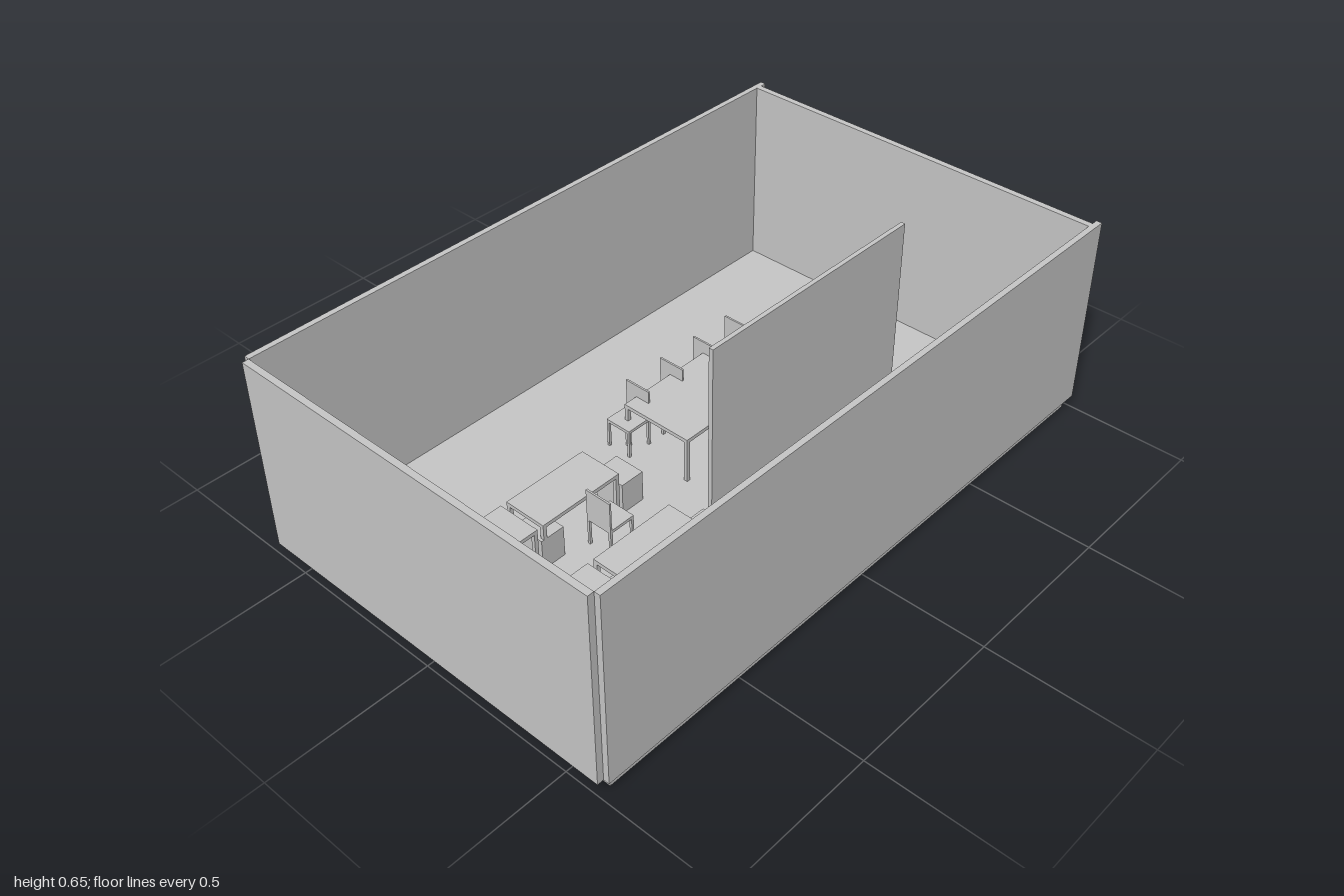
import * as THREE from 'three';

const grey = new THREE.MeshStandardMaterial({ color: 0xc8c8c8 });
grey.name = 'plain grey';

const FLOOR = 0.04, WALL_TOP = 0.65;

// Box given by its minimum and maximum on each axis
function box(name, [x0, x1], [y0, y1], [z0, z1]) {
  const mesh = new THREE.Mesh(new THREE.BoxGeometry(x1 - x0, y1 - y0, z1 - z0), grey);
  mesh.position.set((x0 + x1) / 2, (y0 + y1) / 2, (z0 + z1) / 2);
  mesh.name = name;
  return mesh;
}

// Four thin legs under a rectangle
function addLegs(group, [x0, x1], top, [z0, z1], t) {
  for (const x of [x0, x1 - t])
    for (const z of [z0, z1 - t])
      group.add(box('leg', [x, x + t], [FLOOR, top], [z, z + t]));
}

function table(name, xs, zs) {
  const group = new THREE.Group();
  group.name = name;
  group.add(box('tabletop', xs, [0.178, 0.19], zs));
  addLegs(group, xs, 0.178, zs, 0.012);
  return group;
}

// Chair with its backrest on the -x edge (side -1) or the +x edge (side 1)
function chair(x, z, side) {
  const group = new THREE.Group(), w = 0.088, t = 0.006;
  group.name = 'chair';
  group.add(box('seat', [x, x + w], [0.125, 0.135], [z, z + w]));
  const bx = side < 0 ? x : x + w - t;
  group.add(box('backrest', [bx, bx + t], [0.135, 0.23], [z, z + w]));
  addLegs(group, [x, x + w], 0.125, [z, z + w], 0.008);
  return group;
}

export function createModel() {
  const room = new THREE.Group();
  room.name = 'officeRoom';

  // Shell: floor slab and four walls
  const height = [FLOOR, WALL_TOP];
  room.add(
    box('floor', [-0.96, 0.98], [0, FLOOR], [-0.607, 0.607]),
    box('frontWall', [-0.98, 1], height, [0.607, 0.625]),
    box('backWall', [-0.98, 1], height, [-0.625, -0.607]),
    box('rightWall', [-1, -0.98], height, [-0.607, 0.607]),
    box('leftWall', [0.96, 0.98], height, [-0.607, 0.607]),
    box('partition', [-0.175, 0.627], height, [0.208, 0.222])
  );

  // Two rows of two workstations: desk, side cabinet and chair
  for (const z of [-0.145, 0.18]) {
    for (const x of [-0.882, -0.58]) {
      room.add(table('desk', [x, x + 0.282], [z, z + 0.14]));
      room.add(box('cabinet', [x + 0.293, x + 0.373], [FLOOR, 0.14], [z + 0.04, z + 0.14]));
      room.add(chair(x + 0.144, z + 0.154, -1));
    }
  }

  // Meeting table with four chairs on each long side
  room.add(table('meetingTable', [-0.07, 0.53], [-0.205, 0.036]));
  for (let i = 0; i < 4; i++) {
    room.add(chair(-0.104 + i * 0.142, -0.245, 1));
    room.add(chair(-0.013 + i * 0.142, 0.068, -1));
  }
  return room;
}
